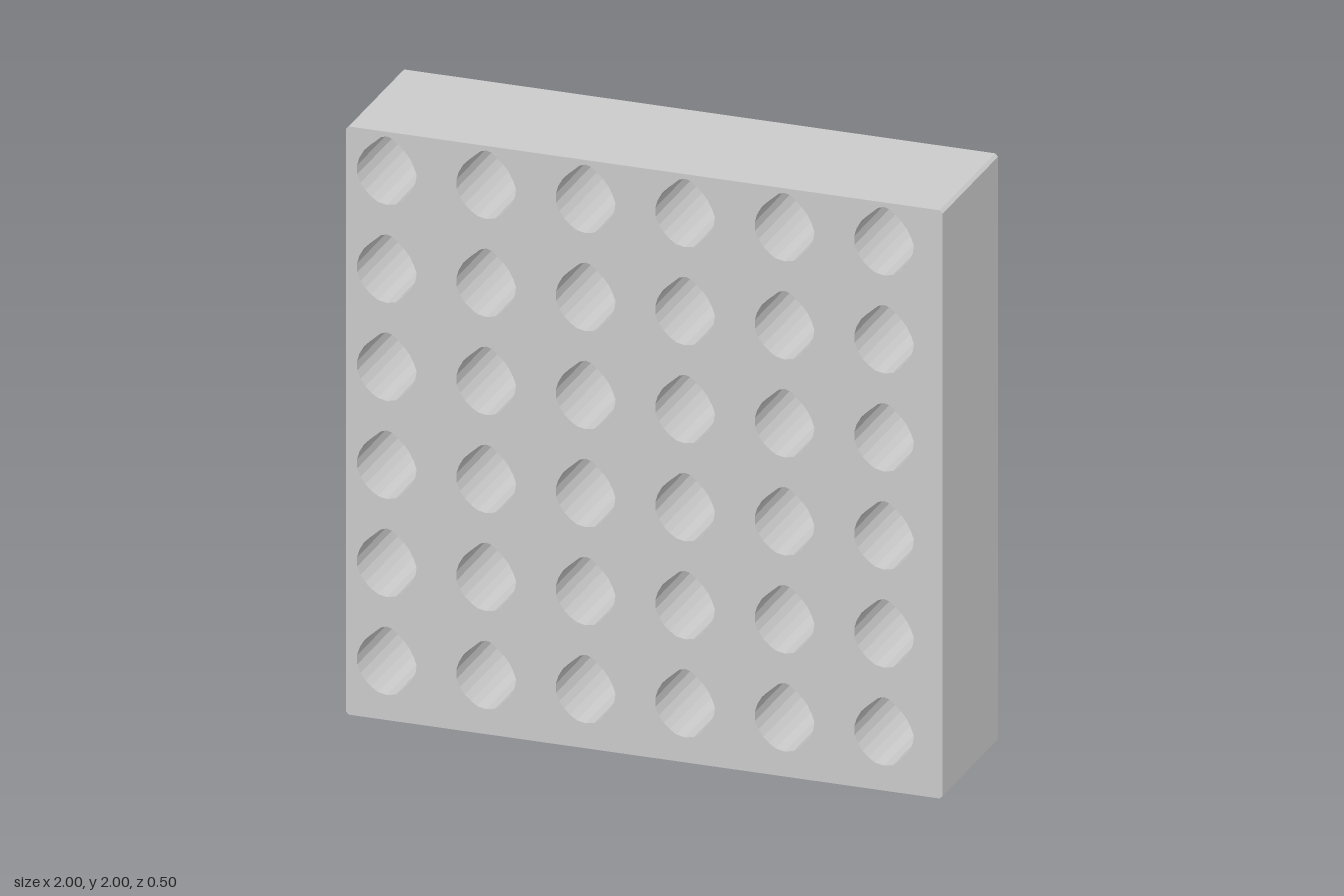
import * as THREE from 'three';

// Rounded-diamond outline of one hole, relative to its centre
const HOLE = [
  [0, 0.118], [0.02, 0.112], [0.038, 0.096], [0.06, 0.075], [0.076, 0.055],
  [0.09, 0.028], [0.1, 0.0], [0.096, -0.027], [0.085, -0.052], [0.07, -0.075],
  [0.052, -0.094], [0.03, -0.109], [0, -0.115], [-0.03, -0.109], [-0.052, -0.094],
  [-0.072, -0.075], [-0.088, -0.052], [-0.099, -0.025], [-0.1, 0.005], [-0.092, 0.032],
  [-0.076, 0.06], [-0.058, 0.078], [-0.038, 0.096], [-0.02, 0.112],
];

// Square outline with tiny cut corners
function blockOutline(c) {
  return new THREE.Shape([
    [-1 + c, 0], [1 - c, 0], [1, c], [1, 2 - c],
    [1 - c, 2], [-1 + c, 2], [-1, 2 - c], [-1, c],
  ].map(([x, y]) => new THREE.Vector2(x, y)));
}

export function createModel() {
  const group = new THREE.Group();
  group.name = 'perforatedBlock';
  const count = 6, pitch = 1 / 3, depth = 0.5;

  // 6 x 6 grid of through holes, slightly off centre
  const shape = blockOutline(0.01);
  for (let row = 0; row < count; row++) {
    for (let col = 0; col < count; col++) {
      const cx = -0.863 + col * pitch, cy = 0.2 + row * pitch;
      shape.holes.push(new THREE.Path(
        HOLE.map(([x, y]) => new THREE.Vector2(cx + x, cy + y))
      ));
    }
  }

  const geometry = new THREE.ExtrudeGeometry(shape, { depth, bevelEnabled: false });
  geometry.translate(0, 0, -depth / 2);
  const block = new THREE.Mesh(
    geometry,
    new THREE.MeshStandardMaterial({ color: 0xcccccc, flatShading: true })
  );
  block.name = 'block';
  group.add(block);
  return group;
}
